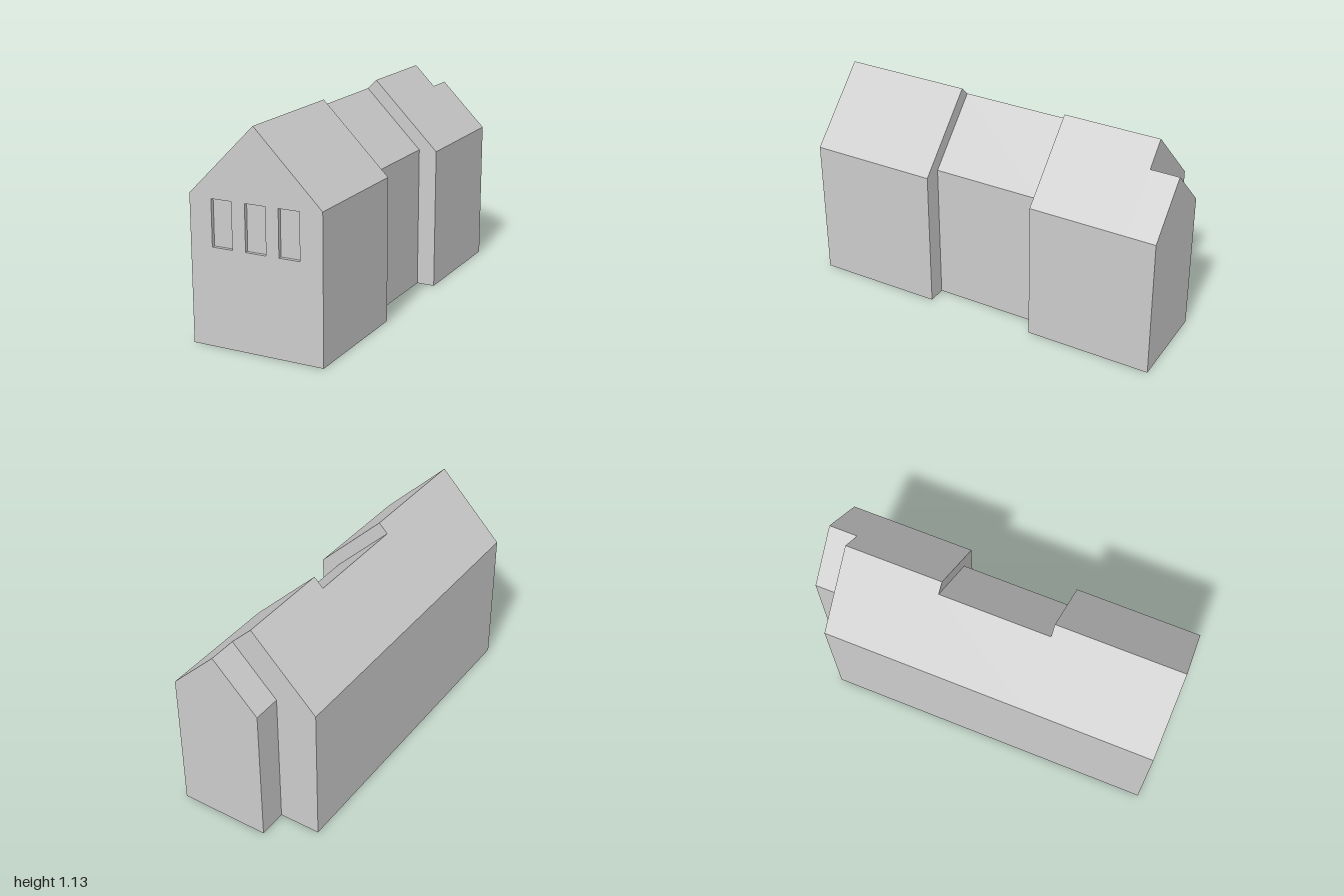
import * as THREE from 'three';

const EAVES = 0.77, WIDTH = 0.727;
const material = new THREE.MeshStandardMaterial({ color: 0xcccccc, side: THREE.DoubleSide, flatShading: true });

function mesh(name, geometry, parent) {
  const m = new THREE.Mesh(geometry, material);
  m.name = name;
  parent.add(m);
  return m;
}

// Sweep an open 2D profile straight back from z0 to z1
function sweep(profile, z0, z1) {
  const pos = [];
  for (let i = 0; i < profile.length - 1; i++) {
    const [ax, ay] = profile[i], [bx, by] = profile[i + 1];
    pos.push(ax, ay, z0, bx, by, z0, bx, by, z1, ax, ay, z0, bx, by, z1, ax, ay, z1);
  }
  const g = new THREE.BufferGeometry();
  g.setAttribute('position', new THREE.Float32BufferAttribute(pos, 3));
  g.computeVertexNormals();
  return g;
}

// House outline with a 45 degree gable: left foot, left eave, ridge, right eave, right foot
function outline(x0, x1) {
  const half = (x1 - x0) / 2;
  return [[x0, 0], [x0, EAVES], [x0 + half, EAVES + half], [x1, EAVES], [x1, 0]];
}

const toShape = (pts) => new THREE.Shape(pts.map(([x, y]) => new THREE.Vector2(x, y)));

function wall(name, shape, z, parent) {
  mesh(name, new THREE.ShapeGeometry(shape), parent).position.z = z;
}

export function createModel() {
  const root = new THREE.Group();
  root.name = 'house';

  // Local origin is the front corner of the long straight wall
  const house = new THREE.Group();
  house.name = 'building';
  house.position.set(-0.342, 0, 1);
  house.rotation.y = 0.0255;
  root.add(house);

  // Walls and roofs of the four sections, front to back
  const MID = 0.627, TAIL = 0.228;
  const z = [0, -0.69, -1.295, -1.825, -1.982];
  const sections = [
    ['front', 0, WIDTH],
    ['middle', 0, MID],
    ['rear', 0, WIDTH],
    ['tail', TAIL, WIDTH],
  ];
  sections.forEach(([name, x0, x1], i) => {
    const group = new THREE.Group();
    group.name = name + 'Section';
    house.add(group);
    const p = outline(x0, x1);
    mesh('leftSideWall', sweep(p.slice(0, 2), z[i], z[i + 1]), group);
    mesh('roof', sweep(p.slice(1, 4), z[i], z[i + 1]), group);
    mesh('rightSideWall', sweep(p.slice(3, 5), z[i], z[i + 1]), group);
  });

  // Cross walls at the steps, each reaching in to the lower ridge
  const [footL, eaveL, ridge, eaveR, footR] = outline(0, WIDTH);
  const midRidge = outline(0, MID)[2], tailRidge = outline(TAIL, WIDTH)[2];
  const stepRight = [[midRidge[0], 0], midRidge, ridge, eaveR, footR];
  wall('frontStepWall', toShape(stepRight), z[1], house);
  wall('rearStepWall', toShape(stepRight), z[2], house);
  wall('tailStepWall', toShape([footL, eaveL, ridge, tailRidge, [tailRidge[0], 0]]), z[3], house);
  wall('backWall', toShape(outline(TAIL, WIDTH)), z[4], house);

  // Front gable with three recessed windows
  const front = toShape(outline(0, WIDTH));
  const depth = 0.02, y0 = 0.513, y1 = 0.755;
  for (const x0 of [0.122, 0.309, 0.492]) {
    const x1 = x0 + 0.113;
    const frame = [[x0, y0], [x1, y0], [x1, y1], [x0, y1], [x0, y0]];
    front.holes.push(new THREE.Path(frame.map(([x, y]) => new THREE.Vector2(x, y))));
    mesh('windowReveal', sweep(frame, 0, -depth), house);
    wall('windowPane', toShape(frame.slice(0, 4)), -depth, house);
  }
  wall('frontWall', front, 0, house);

  return root;
}
